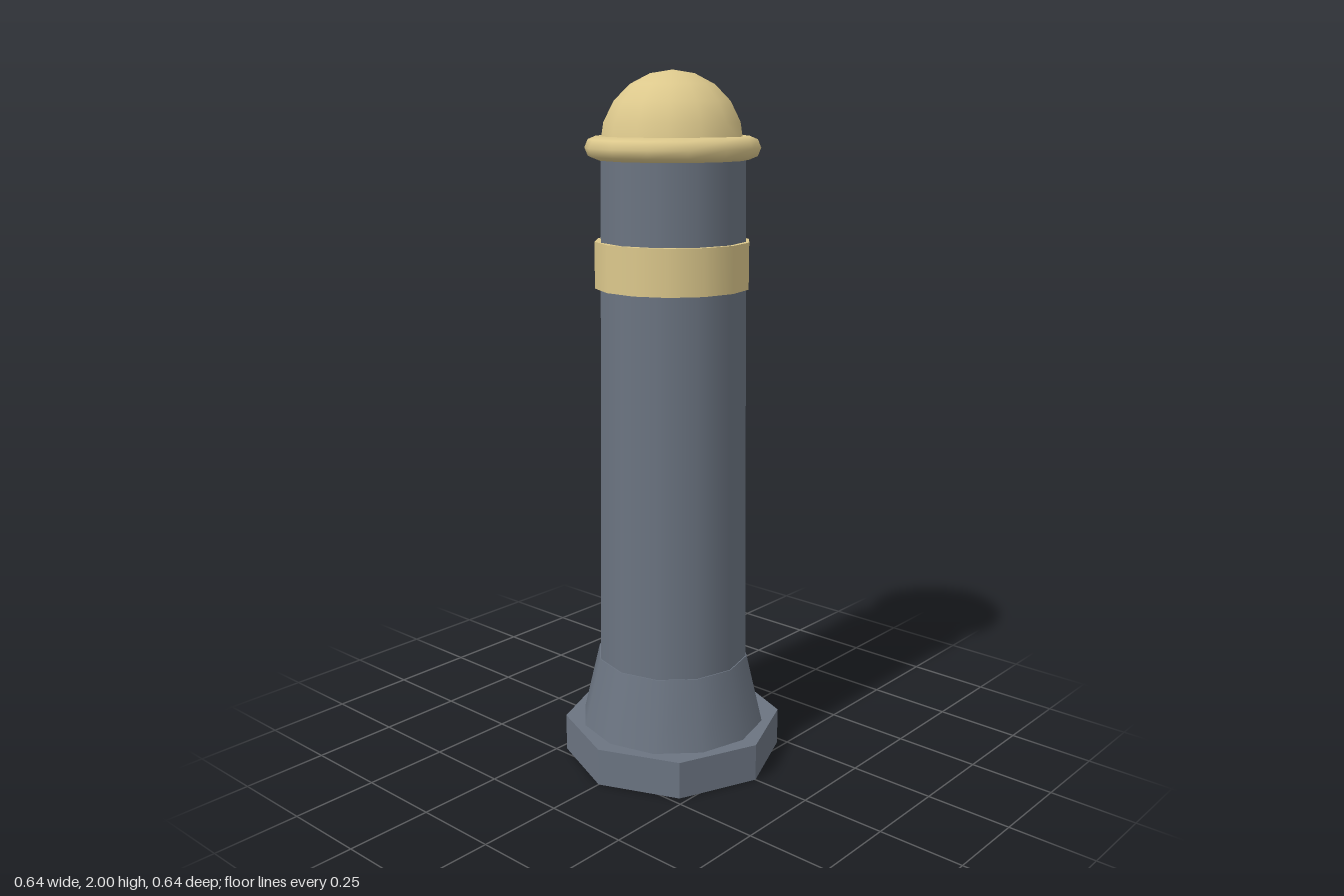
import * as THREE from 'three';

export function createModel() {
  const model = new THREE.Group();
  const iron = new THREE.MeshStandardMaterial({ color: 0x6b7481 });
  iron.name = 'slate iron';
  const ironFlat = iron.clone();
  ironFlat.flatShading = true;
  ironFlat.name = 'slate iron faceted';
  const brass = new THREE.MeshStandardMaterial({ color: 0xdcc88c });
  brass.name = 'pale brass';

  const add = (name, geometry, material, y = 0) => {
    const mesh = new THREE.Mesh(geometry, material);
    mesh.name = name;
    mesh.position.y = y;
    model.add(mesh);
    return mesh;
  };
  // Tapered drum standing between two heights
  const drum = (name, rTop, rBottom, y0, y1, sides, material) =>
    add(name, new THREE.CylinderGeometry(rTop, rBottom, y1 - y0, sides), material, (y0 + y1) / 2);

  // Octagonal foot, flared skirt and tapering shaft
  drum('base', 0.322, 0.322, 0, 0.11, 8, ironFlat);
  drum('skirt', 0.225, 0.273, 0.11, 0.315, 12, iron);
  drum('column', 0.203, 0.222, 0.315, 1.8, 12, iron);

  // Brass band around the shaft
  drum('band', 0.219, 0.219, 1.41, 1.54, 14, brass);

  // Rounded collar under the cap
  const collar = new THREE.TorusGeometry(0.211, 0.032, 8, 14);
  collar.rotateX(Math.PI / 2);
  add('collar', collar, brass, 1.793);

  // Domed cap: a quarter circle turned around the axis
  const profile = [];
  for (let i = 0; i <= 5; i++) {
    const a = (i / 5) * Math.PI / 2;
    profile.push(new THREE.Vector2(i === 5 ? 0 : 0.2 * Math.cos(a), 0.2 * Math.sin(a)));
  }
  add('dome', new THREE.LatheGeometry(profile, 14), brass, 1.8);

  return model;
}
